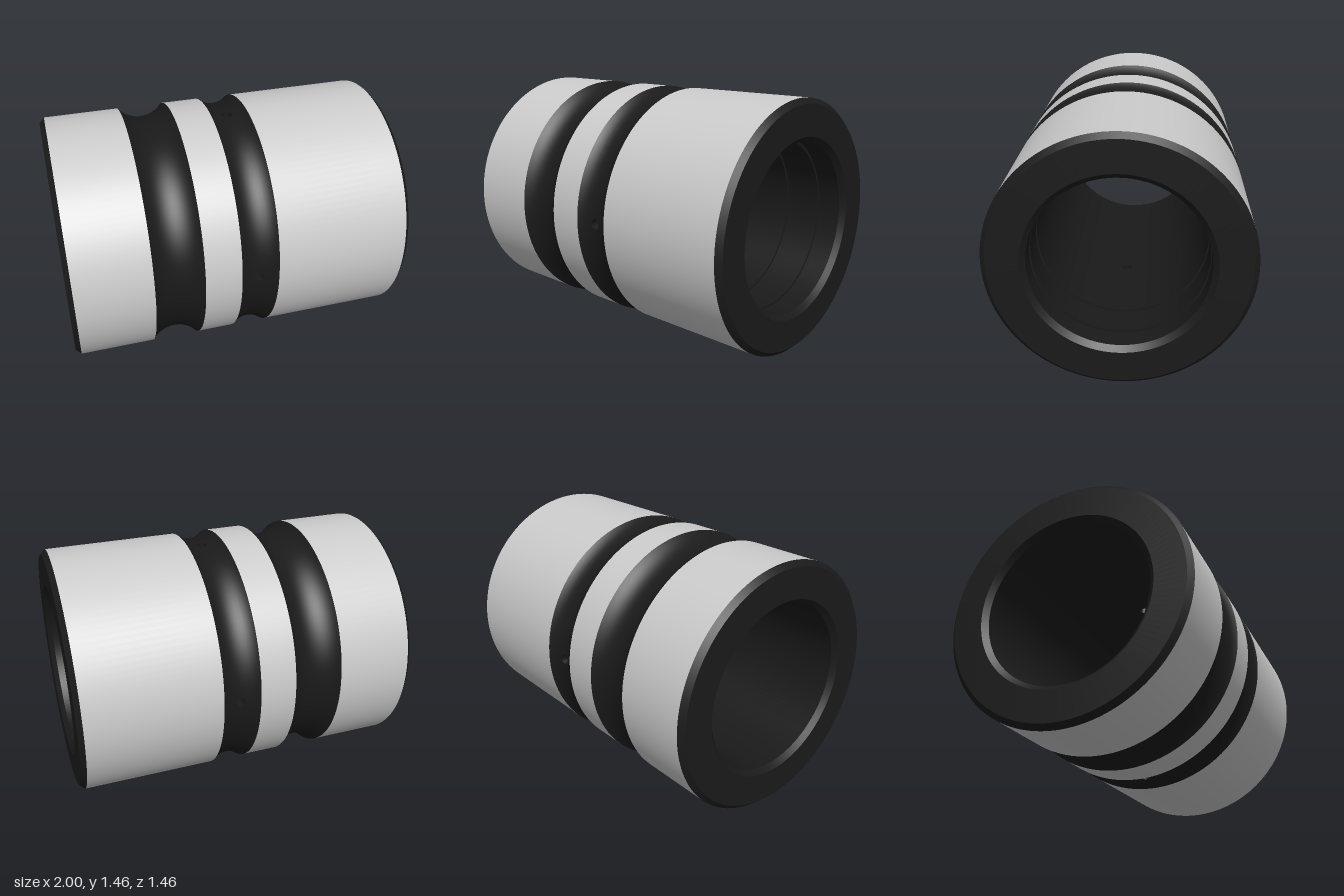
import * as THREE from 'three';
import { mergeGeometries } from 'three/addons/utils/BufferGeometryUtils.js';

const R = 0.73, BORE = 0.49, CH = 0.03, SEG = 128;
const HOLE = { y: 0.078, r: 0.03, halfY: 0.06, halfA: (2 * Math.PI * 2) / SEG };
const wide = { y: -0.388, half: 0.143, depth: 0.065 };
const narrow = { y: 0.078, half: 0.11, depth: 0.04 };

// radius of a round-bottomed groove at axial position y
function grooveRadius(g, y) {
  const rad = (g.half ** 2 + g.depth ** 2) / (2 * g.depth);
  return R - g.depth + rad - Math.sqrt(rad * rad - (y - g.y) ** 2);
}

function groovePoints(g, y0, y1, n = 12) {
  return Array.from({ length: n + 1 }, (_, i) => {
    const y = y0 + ((y1 - y0) * i) / n;
    return [grooveRadius(g, y), y];
  });
}

// points are [radius, axial]; rising profiles face outward
function lathe(points, segs = SEG, start = 0, length = Math.PI * 2) {
  const geo = new THREE.LatheGeometry(points.map(p => new THREE.Vector2(...p)), segs, start, length);
  geo.deleteAttribute('uv');
  return geo;
}

// one smooth strip lofted through closed rings of equal point count
function loft(rings) {
  const n = rings[0].length, index = [];
  for (let k = 0; k < rings.length - 1; k++) {
    for (let i = 0; i < n; i++) {
      const j = (i + 1) % n, a = k * n, b = a + n;
      index.push(a + i, b + i, b + j, a + i, b + j, a + j);
    }
  }
  const geo = new THREE.BufferGeometry();
  geo.setAttribute('position', new THREE.Float32BufferAttribute(rings.flat(2), 3));
  geo.setIndex(index);
  geo.computeVertexNormals();
  return geo;
}

// ring on a wall around an oil hole: t = 0 is the hole edge, t = 1 the patch border
function holeRing(phi, radiusAt, t) {
  return Array.from({ length: 32 }, (_, i) => {
    const a = (i / 32) * Math.PI * 2, c = Math.cos(a), s = Math.sin(a);
    const m = Math.max(Math.abs(c), Math.abs(s));
    const y = HOLE.y + THREE.MathUtils.lerp(HOLE.r * s, (HOLE.halfY * s) / m, t);
    const r = radiusAt(y);
    const p = phi + THREE.MathUtils.lerp((HOLE.r * c) / r, (HOLE.halfA * c) / m, t);
    return [r * Math.sin(p), y, r * Math.cos(p)];
  });
}

export function createModel() {
  const group = new THREE.Group();
  const grey = new THREE.MeshStandardMaterial({ color: 0xcccccc });
  const dark = new THREE.MeshStandardMaterial({ color: 0x1a1a1a });
  const add = (name, geos, mat) => {
    const mesh = new THREE.Mesh(mergeGeometries(geos), mat);
    mesh.name = name;
    mesh.rotation.z = -Math.PI / 2;
    mesh.position.y = R;
    group.add(mesh);
  };
  const lo = HOLE.y - HOLE.halfY, hi = HOLE.y + HOLE.halfY;

  // ground outer bands
  const edges = [-1 + CH, wide.y - wide.half, wide.y + wide.half,
    narrow.y - narrow.half, narrow.y + narrow.half, 1 - CH];
  for (let i = 0; i < 6; i += 2) {
    add(['rightBand', 'middleBand', 'leftBand'][i / 2],
      [lathe([[R, edges[i]], [R, edges[i + 1]]])], grey);
  }

  // outer grooves, the narrow one left open around the holes
  add('wideGroove', [lathe(groovePoints(wide, edges[1], edges[2], 24))], dark);
  const grooveGeos = [lathe(groovePoints(narrow, edges[3], lo)), lathe(groovePoints(narrow, hi, edges[4]))];
  const boreGeos = [], holeGeos = [];

  // four radial oil holes with the wall bands between them
  const outerAt = y => grooveRadius(narrow, y), innerAt = () => BORE;
  for (let q = 0; q < 4; q++) {
    const phi = (q * Math.PI) / 2, start = phi + HOLE.halfA, len = Math.PI / 2 - 2 * HOLE.halfA;
    grooveGeos.push(lathe(groovePoints(narrow, lo, hi), SEG / 4 - 4, start, len));
    boreGeos.push(lathe([[BORE, hi], [BORE, lo]], SEG / 4 - 4, start, len));
    grooveGeos.push(loft([0, 0.25, 0.5, 0.75, 1].map(t => holeRing(phi, outerAt, t))));
    boreGeos.push(loft([1, 0.5, 0].map(t => holeRing(phi, innerAt, t))));
    holeGeos.push(loft([holeRing(phi, innerAt, 0), holeRing(phi, outerAt, 0)]));
  }
  add('narrowGroove', grooveGeos, dark);
  add('oilHoles', holeGeos, dark);

  // bore with two fine ring grooves toward the left end
  const borePath = [[BORE, 1 - CH]];
  for (const y of [0.84, 0.62]) {
    borePath.push([BORE, y + 0.015], [BORE + 0.015, y + 0.015], [BORE + 0.015, y - 0.015], [BORE, y - 0.015]);
  }
  borePath.push([BORE, hi]);
  for (let i = 0; i < borePath.length - 1; i++) boreGeos.push(lathe([borePath[i], borePath[i + 1]]));
  boreGeos.push(lathe([[BORE, lo], [BORE, -1 + CH]]));
  add('bore', boreGeos, dark);

  // flat end faces with chamfers on both rims
  const rim = [[R, 1 - CH], [R - CH, 1], [BORE + CH, 1], [BORE, 1 - CH]];
  for (const side of [1, -1]) {
    const path = rim.map(([r, y]) => [r, y * side]);
    if (side < 0) path.reverse();
    add(side > 0 ? 'leftEnd' : 'rightEnd', [0, 1, 2].map(i => lathe([path[i], path[i + 1]])), dark);
  }
  return group;
}
